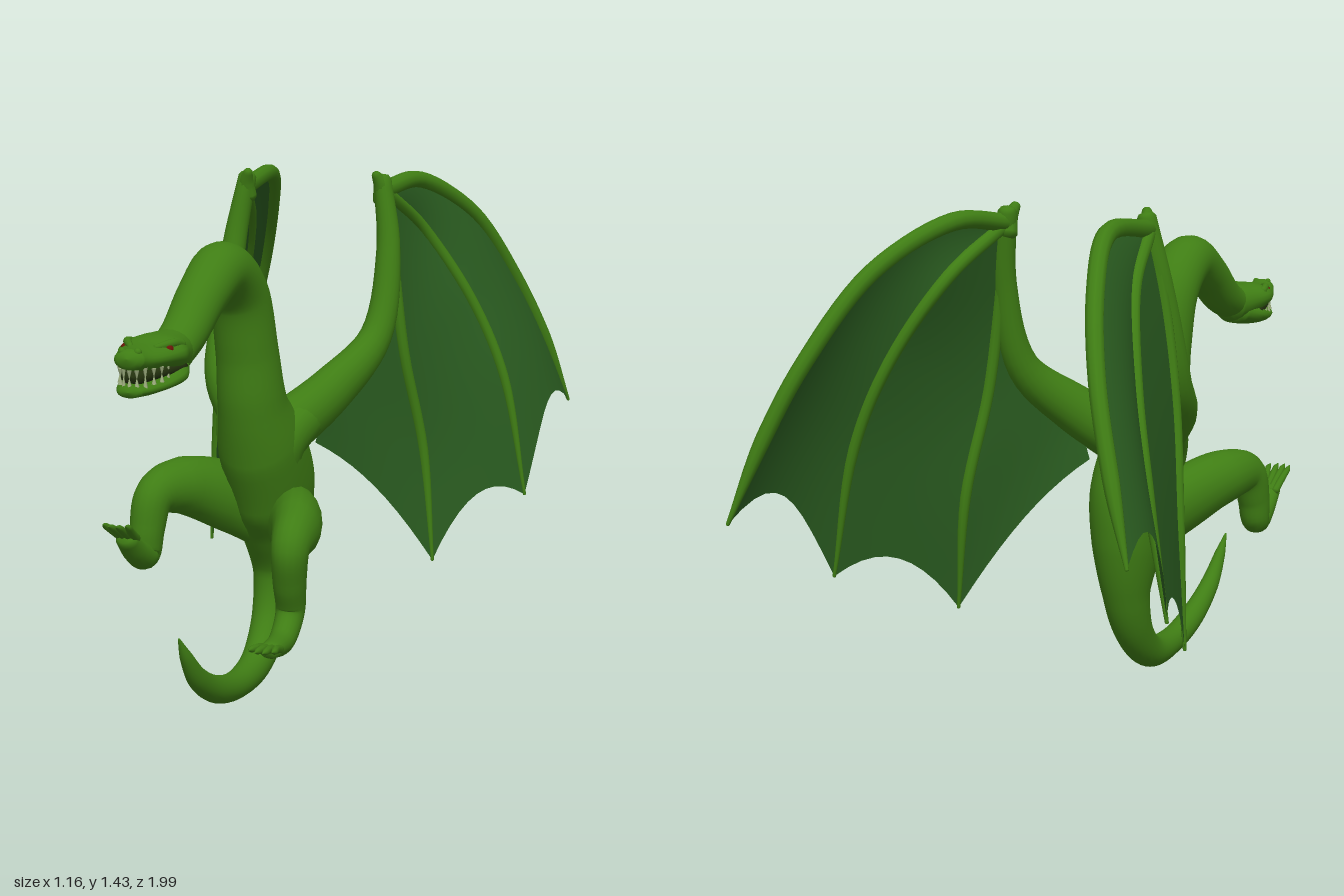
import * as THREE from 'three';

const skin = new THREE.MeshStandardMaterial({ color: 0x3f7d14 });
const membraneMat = new THREE.MeshStandardMaterial({ color: 0x2a5c20, side: THREE.DoubleSide });
const eyeMat = new THREE.MeshStandardMaterial({ color: 0x6a1408 });
const toothMat = new THREE.MeshStandardMaterial({ color: 0x9fb080 });
const mouthMat = new THREE.MeshStandardMaterial({ color: 0x24330f });

const vec = p => new THREE.Vector3(p[0], p[1], p[2]);
const curveOf = pts => new THREE.CatmullRomCurve3(pts.map(vec));

// Smooth limb through points [x, y, z, sideRadius, upRadius?]
function limb(name, pts, material = skin, sides = 18, perSpan = 7) {
  const path = curveOf(pts);
  const radii = new THREE.CatmullRomCurve3(pts.map(p => new THREE.Vector3(p[3], p[4] ?? p[3], 0)));
  const n = (pts.length - 1) * perSpan;
  const pos = [], index = [];
  const ring = (t, scale, push) => {
    const tan = path.getTangent(t);
    const side = new THREE.Vector3(1, 0, 0).addScaledVector(tan, -tan.x).normalize();
    const up = tan.clone().cross(side);
    const r = radii.getPoint(t);
    const c = path.getPoint(t).addScaledVector(tan, push * Math.min(r.x, r.y));
    for (let j = 0; j < sides; j++) {
      const a = j / sides * Math.PI * 2;
      const p = c.clone()
        .addScaledVector(side, Math.cos(a) * Math.max(r.x, 0.001) * scale)
        .addScaledVector(up, Math.sin(a) * Math.max(r.y, 0.001) * scale);
      pos.push(p.x, p.y, p.z);
    }
  };
  // rounded start cap, shaft, rounded end cap
  ring(0, 0.01, -0.6); ring(0, 0.7, -0.42);
  for (let i = 0; i <= n; i++) ring(i / n, 1, 0);
  ring(1, 0.7, 0.42); ring(1, 0.01, 0.6);
  for (let i = 0; i < n + 4; i++) for (let j = 0; j < sides; j++) {
    const k = (j + 1) % sides, a = i * sides, b = a + sides;
    index.push(a + j, a + k, b + k, a + j, b + k, b + j);
  }
  return meshFrom(name, pos, index, material);
}

function meshFrom(name, pos, index, material) {
  const g = new THREE.BufferGeometry();
  g.setAttribute('position', new THREE.Float32BufferAttribute(pos, 3));
  g.setIndex(index);
  g.computeVertexNormals();
  const m = new THREE.Mesh(g, material);
  m.name = name;
  return m;
}

// Skin stretched between two curves, with a scalloped trailing edge and a sideways billow
function membrane(a, b, scallop, billow, nu = 26, nv = 10) {
  const pos = [], index = [];
  for (let i = 0; i <= nu; i++) for (let j = 0; j <= nv; j++) {
    const v = j / nv, bow = 4 * v * (1 - v);
    const u = i / nu * (1 - scallop * bow);
    const p = a.getPointAt(u).lerp(b.getPointAt(u), v);
    pos.push(p.x + billow * bow * u, p.y, p.z);
    if (i < nu && j < nv) {
      const k = i * (nv + 1) + j, l = k + nv + 1;
      index.push(k, l, l + 1, k, l + 1, k + 1);
    }
  }
  return meshFrom('wingMembrane', pos, index, membraneMat);
}

function wing(name, s, arm, fingers, attach) {
  const g = new THREE.Group();
  g.name = name;
  const armR = [[0.08, 0.085], [0.064, 0.072], [0.046, 0.05], [0.035, 0.034], [0.026, 0.03]];
  g.add(limb('wingArm', arm.map((p, i) => [...p, ...armR[i]])));
  // chest muscle running up into the arm
  const e = arm[1];
  g.add(limb('chestMuscle', [[-0.115 + s * 0.055, 0.6, 0.17, 0.05, 0.06], [-0.115 + s * 0.07, 0.7, 0.17, 0.058, 0.07],
    [e[0] - s * 0.035, e[1] - 0.05, e[2] + 0.045, 0.05, 0.055], [e[0], e[1], e[2], 0.035]]));
  const w = arm[arm.length - 1];
  g.add(limb('wristClaw', [[w[0], w[1] - 0.06, w[2], 0.028], [w[0], w[1] - 0.02, w[2] + 0.012, 0.024],
    [w[0] - s * 0.012, w[1] + 0.016, w[2] + 0.03, 0.013]], skin, 10));
  fingers.forEach((f, k) => {
    const last = f.length - 1, base = k === 2 ? 0.026 : 0.02;
    g.add(limb('wingFinger', f.map((p, i) => [...p, i === last ? 0.005 : base * (1 - 0.25 * i / last)]), skin, 10));
  });
  const root = curveOf([...arm.slice(1).reverse(), attach]);
  const curves = [root, ...fingers.map(curveOf)];
  [[0.05, -0.005], [0.09, 0.005], [0.13, 0.045]].forEach(([depth, billow], i) =>
    g.add(membrane(curves[i], curves[i + 1], depth, s * billow)));
  return g;
}

// Leg with four clawed toes spreading from the last point
function leg(name, pts, toeLift) {
  const g = new THREE.Group();
  g.name = name;
  g.add(limb('leg', pts));
  const [x, y, z] = pts[pts.length - 1];
  for (let i = 0; i < 4; i++) {
    const o = i - 1.5, len = 0.1 - Math.abs(o) * 0.014;
    const bx = x + o * 0.014, tx = x + o * 0.021;
    g.add(limb('toe', [[bx, y, z - 0.02, 0.012], [(bx + tx) / 2, y + toeLift * 0.45 + 0.006, z + len * 0.4, 0.011],
      [tx, y + toeLift * 0.85, z + len * 0.75, 0.009], [tx, y + toeLift, z + len, 0.002]], skin, 8, 4));
  }
  return g;
}

function head() {
  const g = new THREE.Group();
  g.name = 'head';
  const X = -0.176;
  g.add(limb('skull', [[-0.166, 1.045, 0.7, 0.055], [-0.172, 1.05, 0.76, 0.072, 0.052], [X, 1.058, 0.82, 0.088, 0.044],
    [X, 1.058, 0.88, 0.073, 0.032], [X, 1.06, 0.94, 0.053, 0.027], [X, 1.068, 0.98, 0.038, 0.025]], skin, 22));
  g.add(limb('lowerJaw', [[-0.17, 1.02, 0.73, 0.055, 0.038], [X, 1.003, 0.8, 0.082, 0.032], [X, 0.993, 0.87, 0.07, 0.022],
    [X, 0.99, 0.94, 0.05, 0.018], [X, 0.99, 0.982, 0.032, 0.015]], skin, 22));
  g.add(limb('mouthInside', [[X, 1.022, 0.78, 0.074, 0.022], [X, 1.022, 0.87, 0.058, 0.022],
    [X, 1.022, 0.955, 0.034, 0.02]], mouthMat, 14));
  // teeth follow the U shape of the jaws
  for (let i = 0; i < 11; i++) {
    const a = (i / 10 - 0.5) * Math.PI, fang = i % 3 === 1 ? 1.25 : 0.85;
    for (const upper of [true, false]) {
      const tooth = new THREE.Mesh(new THREE.ConeGeometry(0.006, 0.026 * fang, 6), toothMat);
      tooth.name = 'tooth';
      tooth.position.set(X + Math.sin(a) * 0.054, upper ? 1.03 : 1.013, 0.865 + Math.cos(a) * 0.115);
      if (upper) tooth.rotation.x = Math.PI;
      g.add(tooth);
    }
  }
  for (const s of [-1, 1]) {
    const eye = new THREE.Mesh(new THREE.SphereGeometry(0.013, 14, 10), eyeMat);
    eye.name = 'eye';
    eye.position.set(X + s * 0.055, 1.074, 0.862);
    g.add(eye);
    g.add(limb('brow', [[X + s * 0.066, 1.078, 0.8, 0.012], [X + s * 0.058, 1.087, 0.845, 0.011],
      [X + s * 0.032, 1.082, 0.89, 0.008]], skin, 10));
    const nostril = new THREE.Mesh(new THREE.SphereGeometry(0.01, 10, 8), skin);
    nostril.name = 'nostril';
    nostril.position.set(X + s * 0.02, 1.085, 0.973);
    g.add(nostril);
  }
  return g;
}

export function createModel() {
  const model = new THREE.Group();
  model.name = 'dragon';

  // neck, torso and tail in one sweep
  model.add(limb('body', [
    [-0.166, 1.04, 0.74, 0.058, 0.05], [-0.16, 1.08, 0.65, 0.06, 0.058], [-0.15, 1.16, 0.54, 0.066, 0.066],
    [-0.14, 1.21, 0.42, 0.075, 0.075], [-0.132, 1.135, 0.31, 0.082, 0.08], [-0.125, 0.97, 0.262, 0.086, 0.088],
    [-0.12, 0.82, 0.235, 0.095, 0.105], [-0.116, 0.7, 0.175, 0.118, 0.145], [-0.112, 0.56, 0.09, 0.118, 0.168],
    [-0.114, 0.42, 0.045, 0.098, 0.13], [-0.116, 0.28, 0.035, 0.068, 0.078], [-0.12, 0.15, 0.085, 0.055, 0.06],
    [-0.125, 0.06, 0.19, 0.046, 0.05], [-0.129, 0.045, 0.35, 0.04, 0.04], [-0.136, 0.083, 0.51, 0.036, 0.038],
    [-0.145, 0.155, 0.63, 0.028, 0.03], [-0.152, 0.235, 0.695, 0.017, 0.018], [-0.158, 0.295, 0.73, 0.003]], skin, 28));
  model.add(head());

  // wings, finger order from the body outward
  model.add(wing('leftWing', 1,
    [[-0.09, 0.7, 0.14], [0.04, 0.82, 0.01], [0.135, 0.96, -0.13], [0.152, 1.2, -0.2], [0.125, 1.4, -0.23]],
    [[[0.135, 1.36, -0.23], [0.165, 1.15, -0.21], [0.195, 0.9, -0.22], [0.245, 0.6, -0.27], [0.283, 0.265, -0.25]],
      [[0.135, 1.36, -0.24], [0.2, 1.24, -0.43], [0.33, 1.02, -0.52], [0.43, 0.78, -0.55], [0.505, 0.41, -0.55]],
      [[0.13, 1.37, -0.23], [0.19, 1.385, -0.42], [0.31, 1.27, -0.63], [0.42, 1.05, -0.79], [0.5, 0.86, -0.865], [0.575, 0.64, -0.93]]],
    [0.0, 0.67, 0.03]));
  model.add(wing('rightWing', -1,
    [[-0.13, 0.7, 0.14], [-0.27, 0.83, 0.01], [-0.328, 0.95, -0.13], [-0.318, 1.2, -0.2], [-0.285, 1.4, -0.23]],
    [[[-0.295, 1.36, -0.23], [-0.335, 1.15, -0.22], [-0.375, 0.9, -0.24], [-0.415, 0.6, -0.3], [-0.44, 0.26, -0.31]],
      [[-0.295, 1.36, -0.24], [-0.36, 1.24, -0.48], [-0.43, 1.02, -0.62], [-0.49, 0.8, -0.69], [-0.55, 0.465, -0.7]],
      [[-0.29, 1.37, -0.23], [-0.305, 1.385, -0.52], [-0.37, 1.27, -0.73], [-0.44, 1.08, -0.87], [-0.51, 0.87, -0.945], [-0.573, 0.68, -0.995]]],
    [-0.23, 0.67, 0.03]));

  // hind legs in different poses, rooted inside the hips
  model.add(leg('leftLeg', [
    [-0.1, 0.44, 0.04, 0.07, 0.1], [-0.022, 0.475, 0.17, 0.075, 0.1], [0.026, 0.49, 0.3, 0.068, 0.085],
    [0.04, 0.465, 0.4, 0.052, 0.06], [0.034, 0.37, 0.39, 0.046, 0.05], [0.028, 0.275, 0.365, 0.04, 0.042],
    [0.026, 0.215, 0.43, 0.036, 0.036], [0.026, 0.218, 0.54, 0.03, 0.022]], 0.025));
  model.add(leg('rightLeg', [
    [-0.125, 0.44, 0.05, 0.07, 0.1], [-0.215, 0.53, 0.17, 0.08, 0.1], [-0.305, 0.59, 0.31, 0.075, 0.08],
    [-0.345, 0.58, 0.41, 0.054, 0.06], [-0.355, 0.5, 0.44, 0.048, 0.05], [-0.358, 0.43, 0.455, 0.042, 0.042],
    [-0.36, 0.45, 0.51, 0.036, 0.034], [-0.364, 0.5, 0.57, 0.03, 0.022]], 0.06));

  return model;
}
